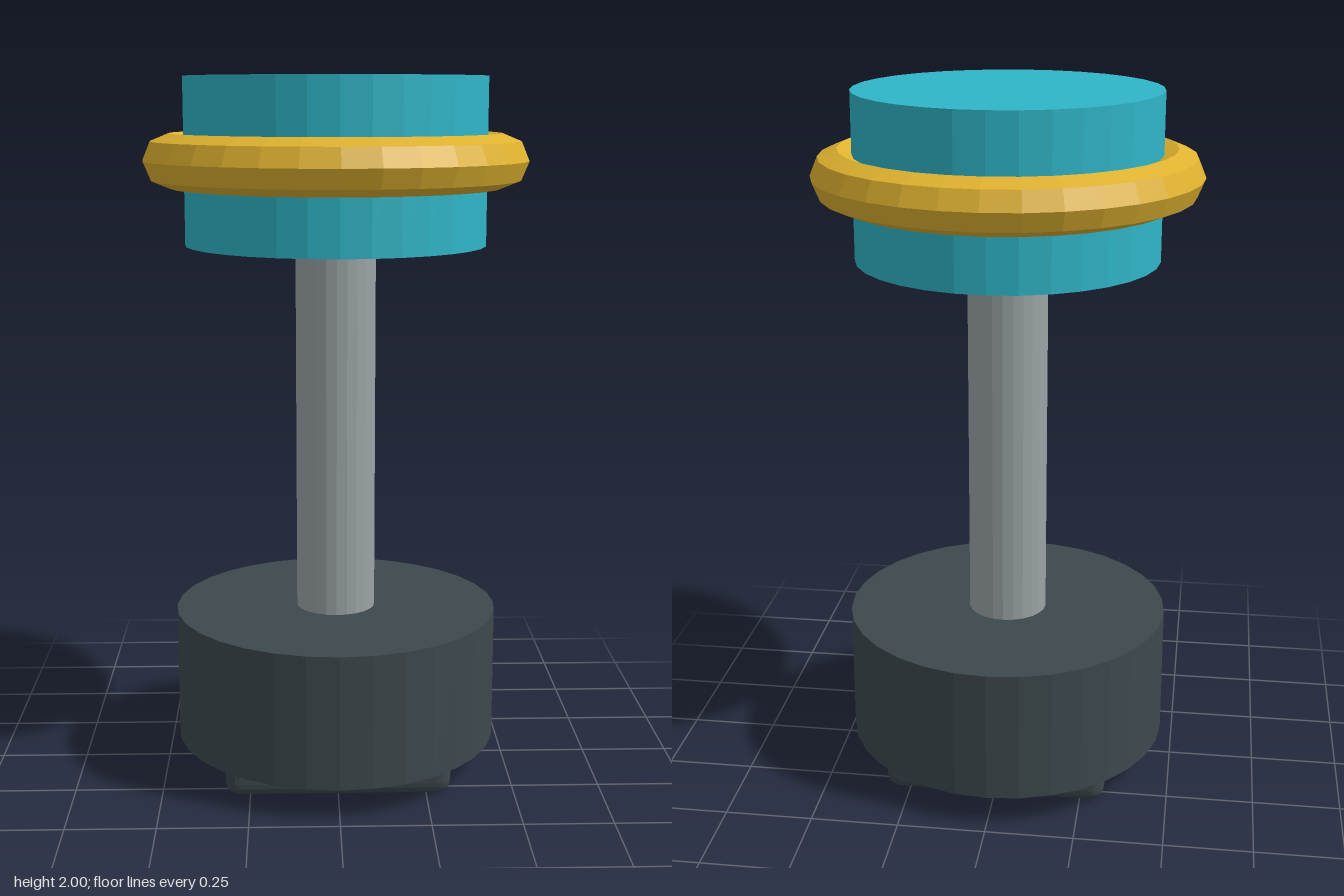
import * as THREE from 'three';
import { RoundedBoxGeometry } from 'three/addons/geometries/RoundedBoxGeometry.js';

function material(name, color) {
  const m = new THREE.MeshStandardMaterial({ color });
  m.name = name;
  m.flatShading = true;
  return m;
}

export function createModel() {
  const group = new THREE.Group();
  group.name = 'plungerPost';

  const charcoal = material('charcoal', 0x3d484d);
  const steel = material('steel', 0x9aa3a5);
  const teal = material('teal', 0x2fb5c7);
  const gold = material('gold', 0xdfb22f);

  const add = (name, geometry, mat, y) => {
    const mesh = new THREE.Mesh(geometry, mat);
    mesh.name = name;
    mesh.position.y = y;
    group.add(mesh);
    return mesh;
  };
  // Upright cylinder between two heights
  const cylinder = (name, radius, y0, y1, sides, mat) =>
    add(name, new THREE.CylinderGeometry(radius, radius, y1 - y0, sides), mat, (y0 + y1) / 2);

  // Square foot with rounded edges, its top sunk into the base
  add('foot', new RoundedBoxGeometry(0.64, 0.16, 0.64, 3, 0.04), charcoal, 0.08);

  // Base drum, shaft and head
  cylinder('base', 0.468, 0.09, 0.473, 32, charcoal);
  cylinder('shaft', 0.114, 0.45, 1.56, 24, steel);
  cylinder('head', 0.425, 1.535, 2, 32, teal);

  // Ring around the head
  const ring = new THREE.TorusGeometry(0.465, 0.075, 8, 32).rotateX(Math.PI / 2);
  add('ring', ring, gold, 1.77);

  return group;
}
